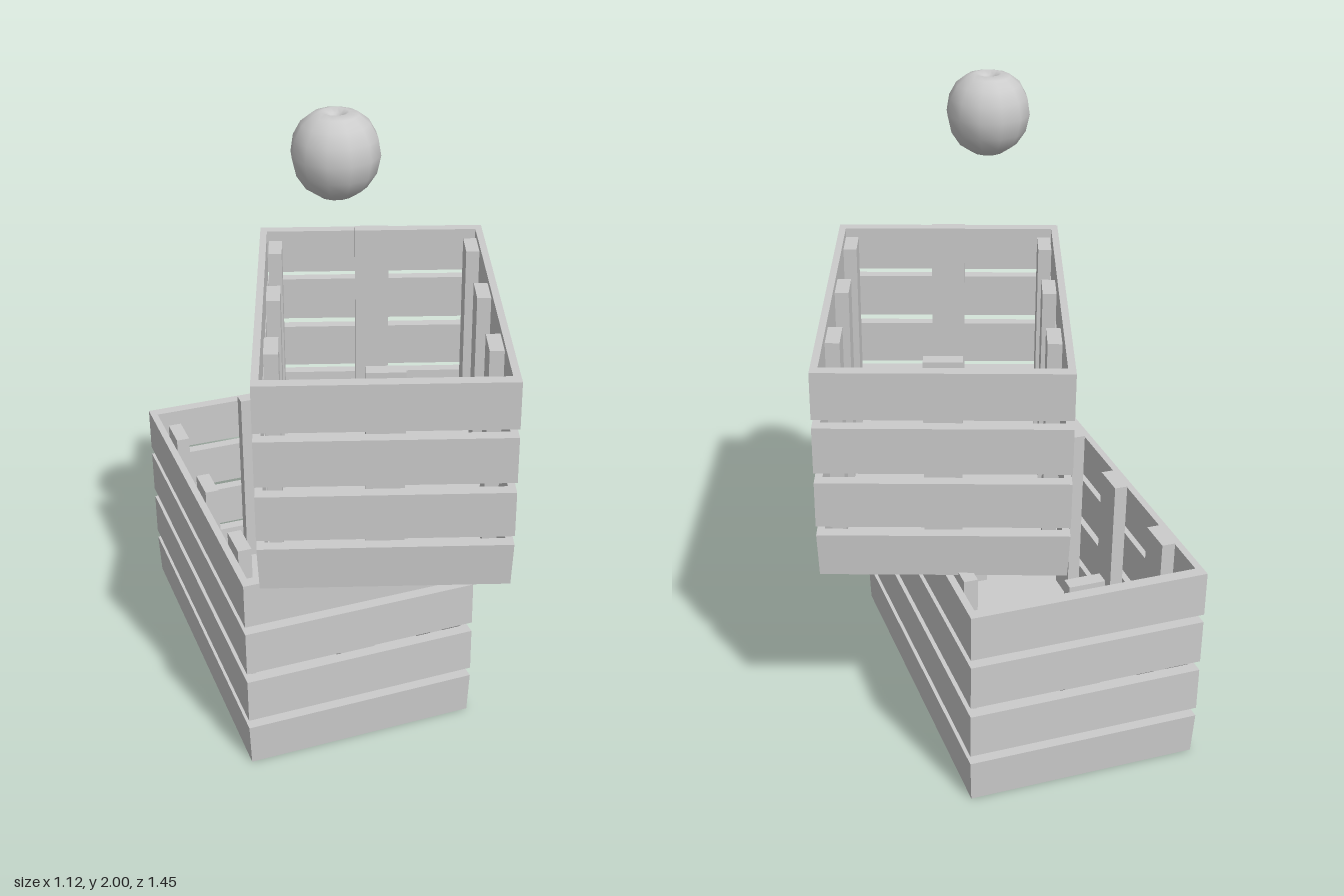
import * as THREE from 'three';

const material = new THREE.MeshStandardMaterial({ color: 0xcccccc });

// Crate dimensions: outer and inner footprint, slat bands as [bottom, top]
const OUTER = [0.75, 1.165];
const INNER = [0.705, 1.09];
const BANDS = [[0, 0.14], [0.17, 0.317], [0.35, 0.497], [0.525, 0.673]];
const FLOOR = 0.03;
const POST_TOP = 0.69;

function add(group, name, geometry, x = 0, y = 0, z = 0) {
  const mesh = new THREE.Mesh(geometry, material);
  mesh.name = name;
  mesh.position.set(x, y, z);
  group.add(mesh);
  return mesh;
}

function rectangle(Type, [w, d]) {
  return new Type([[-1, -1], [1, -1], [1, 1], [-1, 1]]
    .map(([x, y]) => new THREE.Vector2(x * w / 2, y * d / 2)));
}

// Four slats joined in a rectangular band
function bandGeometry(height) {
  const shape = rectangle(THREE.Shape, OUTER);
  shape.holes.push(rectangle(THREE.Path, INNER));
  return new THREE.ExtrudeGeometry(shape, { depth: height, bevelEnabled: false })
    .rotateX(-Math.PI / 2);
}

// Draw the lowest edge in slightly, so that crates stack
function taperBase(geometry) {
  const p = geometry.attributes.position;
  for (let i = 0; i < p.count; i++) {
    if (p.getY(i) < 0.001) p.setXYZ(i, p.getX(i) * 0.985, p.getY(i), p.getZ(i) * 0.99);
  }
  geometry.computeVertexNormals();
  return geometry;
}

function createCrate(name) {
  const crate = new THREE.Group();
  crate.name = name;

  BANDS.forEach(([y0, y1], i) => {
    const band = bandGeometry(y1 - y0);
    add(crate, i ? 'slatBand' : 'baseBand', i ? band : taperBase(band), 0, y0, 0);
  });
  const floor = new THREE.BoxGeometry(INNER[0], FLOOR, INNER[1]).translate(0, FLOOR / 2, 0);
  add(crate, 'floor', taperBase(floor));

  // Inner posts: three along each long side, one on each end
  const postHeight = POST_TOP - FLOOR;
  const postY = FLOOR + postHeight / 2;
  for (const side of [-1, 1]) {
    for (const z of [-0.365, 0, 0.365]) {
      add(crate, 'sidePost', new THREE.BoxGeometry(0.043, postHeight, 0.113), side * 0.321, postY, z);
    }
    add(crate, 'endPost', new THREE.BoxGeometry(0.113, postHeight, 0.043), 0, postY, side * 0.524);
  }
  return crate;
}

// Round fruit with a dimple at the stem end
function createFruit() {
  const profile = [
    [0, -0.122], [0.05, -0.122], [0.09, -0.095], [0.118, -0.053], [0.13, 0], [0.122, 0.05],
    [0.1, 0.09], [0.068, 0.115], [0.04, 0.122], [0.022, 0.112], [0, 0.09],
  ].map(([r, y]) => new THREE.Vector2(r, y));
  return new THREE.LatheGeometry(profile, 12);
}

export function createModel() {
  const model = new THREE.Group();
  model.name = 'stackedCrates';

  const lower = createCrate('lowerCrate');
  lower.position.set(-0.186, 0, -0.143);

  const upper = createCrate('upperCrate');
  upper.position.set(0.014, 0.682, 0.05);
  upper.rotation.y = -0.327;

  model.add(lower, upper);
  add(model, 'fruit', createFruit(), -0.163, 1.878, 0.173);
  return model;
}
